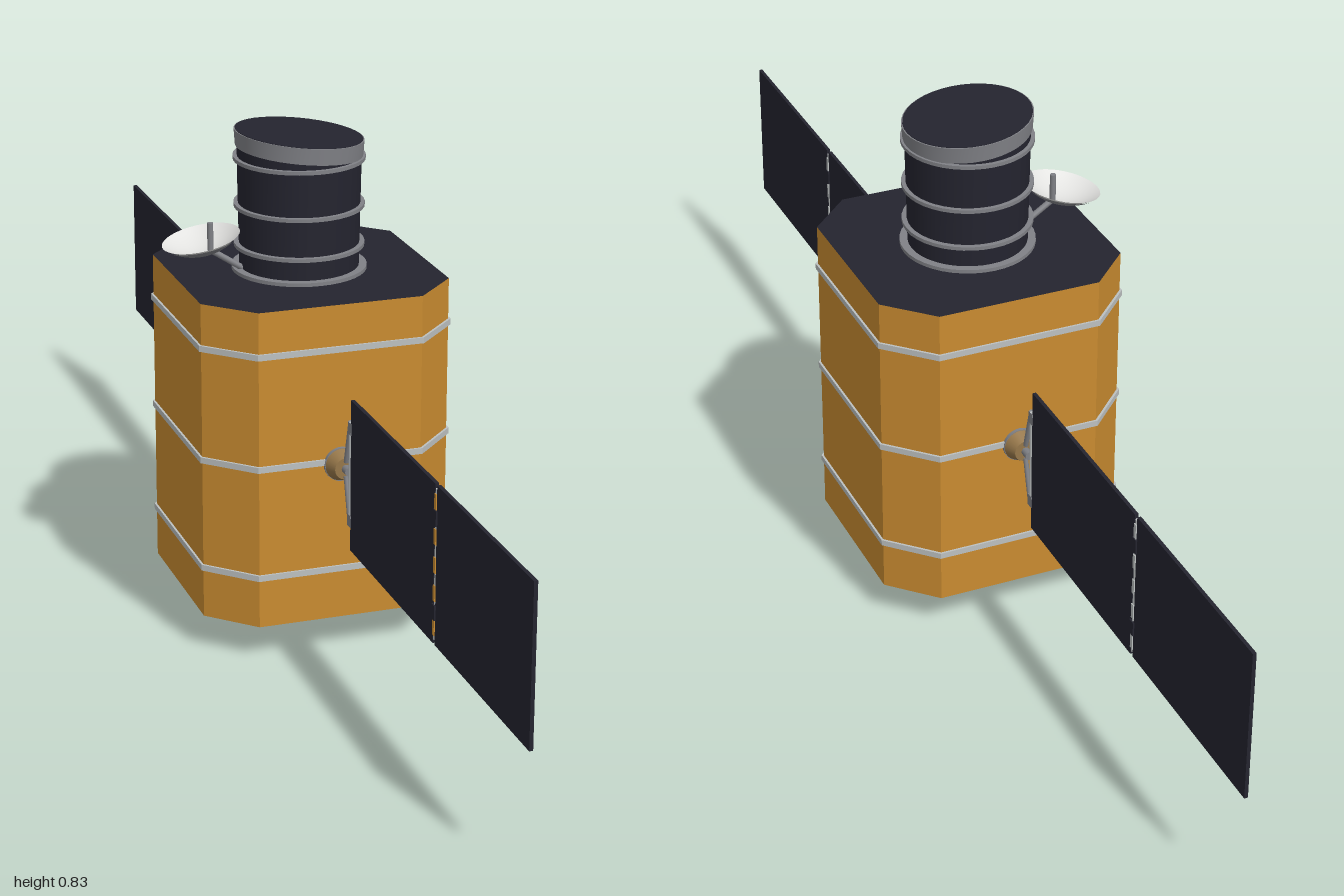
import * as THREE from 'three';

const mat = (name, color, side = THREE.FrontSide) => {
  const m = new THREE.MeshStandardMaterial({ color, side });
  m.name = name;
  return m;
};

export function createModel() {
  const gold = mat('gold foil', 0xc98b30);
  const dark = mat('dark navy', 0x24242f);
  const grey = mat('mid grey', 0x808186);
  const strap = mat('light strap', 0xbcc0c0);
  const white = mat('white', 0xe2e2e0, THREE.DoubleSide);
  const tan = mat('tan joint', 0x96774a);

  const model = new THREE.Group();
  model.name = 'satellite';
  const CX = 0.003; // main axis

  const add = (name, geo, material, x = 0, y = 0, z = 0, parent = model) => {
    const m = new THREE.Mesh(geo, material);
    m.name = name;
    m.position.set(x, y, z);
    parent.add(m);
    return m;
  };
  const cyl = (rTop, rBottom, h, n = 40) => new THREE.CylinderGeometry(rTop, rBottom, h, n);
  const rod = (name, a, b, r, material, parent = model) => {
    const from = new THREE.Vector3(...a), to = new THREE.Vector3(...b);
    const m = add(name, cyl(r, r, from.distanceTo(to), 12), material, 0, 0, 0, parent);
    m.position.copy(from).add(to).multiplyScalar(0.5);
    m.quaternion.setFromUnitVectors(new THREE.Vector3(0, 1, 0), to.sub(from).normalize());
    return m;
  };

  // Box with cut corners, extruded upwards
  const octagon = (r, c) => [[r, c], [c, r], [-c, r], [-r, c], [-r, -c], [-c, -r], [c, -r], [r, -c]]
    .map(([x, y]) => new THREE.Vector2(x, y));
  const prism = (r, c, h, hole) => {
    const s = new THREE.Shape(octagon(r, c));
    if (hole) s.holes.push(new THREE.Path(hole));
    return new THREE.ExtrudeGeometry(s, { depth: h, bevelEnabled: false }).rotateX(-Math.PI / 2);
  };
  add('body', prism(0.208, 0.136, 0.533), [dark, gold], CX, 0.06);
  for (const y of [0.146, 0.332, 0.52]) {
    add('bodyStrap', prism(0.2115, 0.138, 0.01, octagon(0.207, 0.1355)), strap, CX, y - 0.005);
  }

  // Telescope tube with a slanted end
  const slant = (geo, all) => {
    const p = geo.attributes.position;
    for (let i = 0; i < p.count; i++) {
      if (all || p.getY(i) > 0) p.setY(i, p.getY(i) - 0.1 * p.getX(i));
    }
    geo.computeVertexNormals();
    return geo;
  };
  add('telescopeTube', slant(cyl(0.101, 0.097, 0.222)), dark, CX, 0.704);
  add('telescopeCollar', slant(cyl(0.105, 0.103, 0.027), true), grey, CX, 0.803);
  add('telescopeLid', slant(cyl(0.103, 0.103, 0.004), true), dark, CX, 0.8155);
  for (const [y, r] of [[0.596, 0.11], [0.635, 0.106], [0.701, 0.106], [0.779, 0.107]]) {
    add('telescopeRing', cyl(r, r, 0.006), grey, CX, y);
  }

  // Dish antenna
  const dish = new THREE.Group();
  dish.name = 'dishAntenna';
  dish.position.set(-0.158, 0.633, 0);
  dish.rotation.z = 0.2;
  model.add(dish);
  const bowl = [];
  for (let i = 0; i <= 8; i++) {
    const r = 0.064 * i / 8;
    bowl.push(new THREE.Vector2(r, 0.024 * (r / 0.064) ** 2));
  }
  add('dishBowl', new THREE.LatheGeometry(bowl, 36), white, 0, 0, 0, dish);
  const shell = bowl.map((v) => new THREE.Vector2(v.x, v.y - 0.002));
  add('dishBack', new THREE.LatheGeometry(shell, 36), grey, 0, 0, 0, dish);
  rod('dishFeed', [-0.147, 0.635, 0], [-0.147, 0.681, 0], 0.005, grey);
  rod('dishArm', [-0.148, 0.636, 0], [-0.09, 0.598, 0], 0.005, grey);

  // Base ring, dark underside and nozzles
  add('baseRing', cyl(0.15, 0.15, 0.023, 48), grey, CX, 0.0485);
  add('baseUnderside', cyl(0.138, 0.138, 0.002, 48), dark, CX, 0.0365);
  add('basePort', cyl(0.025, 0.025, 0.004, 24), dark, CX, 0.035);
  rod('basePin', [-0.068, 0.0, 0], [-0.068, 0.037, 0], 0.01, white);
  for (const sx of [-1, 1]) for (const sz of [-1, 1]) {
    const nozzle = new THREE.Group();
    nozzle.name = 'nozzle';
    nozzle.position.set(sx > 0 ? 0.072 : -0.064, 0.037, sz * 0.075);
    nozzle.rotation.set(-sz * 0.6, 0, sx > 0 ? 0.7 : -0.1);
    model.add(nozzle);
    add('nozzleCollar', cyl(0.013, 0.015, 0.014, 20), dark, 0, -0.005, 0, nozzle);
    add('nozzleBell', cyl(0.013, 0.019, 0.018, 20), white, 0, -0.019, 0, nozzle);
    add('nozzleMouth', cyl(0.016, 0.016, 0.002, 20), dark, 0, -0.0276, 0, nozzle);
  }

  // Solar wings, front and back
  for (const s of [1, -1]) {
    const wing = new THREE.Group();
    wing.name = s > 0 ? 'frontWing' : 'backWing';
    wing.position.set(CX, 0.327, 0);
    model.add(wing);
    add('wingBase', cyl(0.028, 0.028, 0.006, 28).rotateX(Math.PI / 2), grey, 0, 0, s * 0.211, wing);
    add('wingJoint', cyl(0.018, 0.027, 0.02, 28).rotateX(s * Math.PI / 2), tan, 0, 0, s * 0.224, wing);
    rod('wingAxle', [0, 0, s * 0.21], [0, 0, s * 0.25], 0.007, grey, wing);
    rod('yokeBar', [0, -0.088, s * 0.259], [0, 0.088, s * 0.259], 0.004, strap, wing);
    for (const t of [1, -1]) {
      rod('yokeArm', [0, t * 0.012, s * 0.235], [0, t * 0.088, s * 0.256], 0.004, grey, wing);
      add('yokeFoot', new THREE.BoxGeometry(0.008, 0.02, 0.014), grey, 0, t * 0.078, s * 0.26, wing);
    }
    add('innerPanel', new THREE.BoxGeometry(0.006, 0.254, 0.366), dark, 0, 0, s * 0.448, wing);
    add('outerPanel', new THREE.BoxGeometry(0.006, 0.254, 0.361), dark, 0, 0, s * 0.8195, wing);
    rod('hingeRod', [0, -0.12, s * 0.635], [0, 0.12, s * 0.635], 0.0035, strap, wing);
    for (const y of [-0.075, 0.075]) {
      add('hingeKnuckle', new THREE.BoxGeometry(0.011, 0.024, 0.013), dark, 0, y, s * 0.635, wing);
    }
    for (const y of [-0.1, -0.045, 0, 0.045, 0.1]) {
      add('hingePlate', new THREE.BoxGeometry(0.003, 0.025, 0.007), strap, 0.003, y, s * 0.635, wing);
      add('hingeBackPlate', new THREE.BoxGeometry(0.003, 0.025, 0.007), gold, -0.003, y, s * 0.635, wing);
    }
  }
  return model;
}
